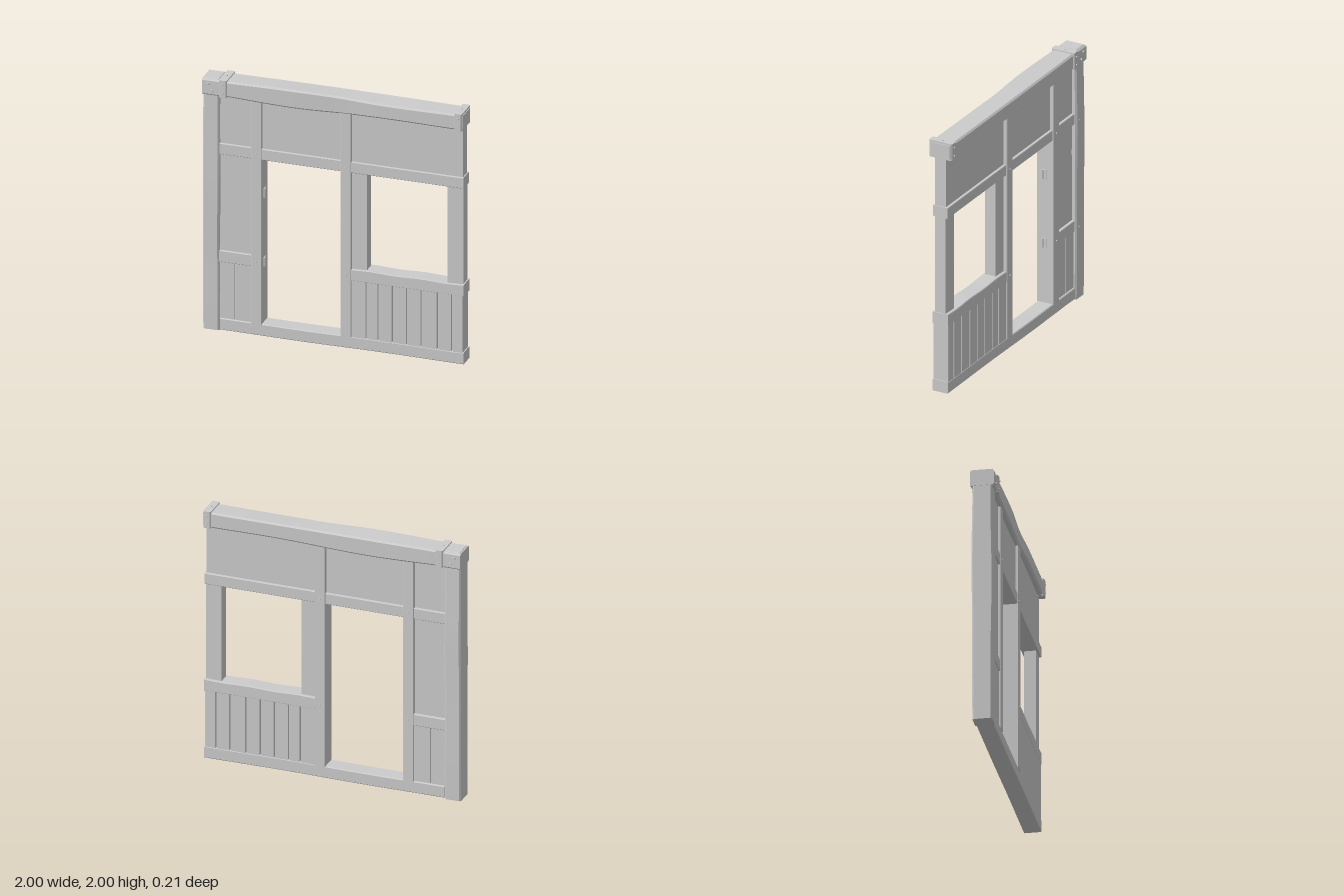
import * as THREE from 'three';
import { toCreasedNormals } from 'three/addons/utils/BufferGeometryUtils.js';

const material = new THREE.MeshStandardMaterial({ color: 0xcccccc });

// Bar with chamfered long edges and slightly hewn, wavy faces.
function timber(axis, length, w, h, chamfer, steps = 1, warp = null) {
  const a = w / 2, b = h / 2, c = chamfer;
  const shape = new THREE.Shape([
    [-a + c, -b], [a - c, -b], [a, -b + c], [a, b - c],
    [a - c, b], [-a + c, b], [-a, b - c], [-a, -b + c],
  ].map(([x, y]) => new THREE.Vector2(x, y)));
  let geo = new THREE.ExtrudeGeometry(shape, { depth: length, steps, bevelEnabled: false });
  geo.translate(0, 0, -length / 2);
  if (axis === 'x') geo.rotateY(Math.PI / 2);
  if (axis === 'y') geo.rotateX(-Math.PI / 2);
  if (warp) {
    const p = geo.attributes.position, v = new THREE.Vector3();
    for (let i = 0; i < p.count; i++) {
      v.fromBufferAttribute(p, i);
      warp(v);
      p.setXYZ(i, v.x, v.y, v.z);
    }
  }
  return toCreasedNormals(geo, 0.5);
}

export function createModel() {
  const model = new THREE.Group();

  const add = (name, geo, x = 0, y = 0, z = 0) => {
    const mesh = new THREE.Mesh(geo, material);
    mesh.name = name;
    mesh.position.set(x, y, z);
    model.add(mesh);
    return mesh;
  };
  // Bar given by its limits in x and y and its depth around z.
  const bar = (name, x0, x1, y0, y1, z0, z1, chamfer = 0.004) => {
    const w = x1 - x0, h = y1 - y0, d = z1 - z0;
    const geo = w > h ? timber('x', w, d, h, chamfer) : timber('y', h, w, d, chamfer);
    return add(name, geo, (x0 + x1) / 2, (y0 + y1) / 2, (z0 + z1) / 2);
  };
  const box = (name, x0, x1, y0, y1, z0, z1) =>
    add(name, new THREE.BoxGeometry(x1 - x0, y1 - y0, z1 - z0),
      (x0 + x1) / 2, (y0 + y1) / 2, (z0 + z1) / 2);
  const bolt = (x, y, z, r = 0.011) => {
    const geo = new THREE.CylinderGeometry(r * 0.75, r, 0.012, 6);
    geo.rotateX(z > 0 ? Math.PI / 2 : -Math.PI / 2);
    add('bolt', geo, x, y, z);
  };

  // Top beam with a hewn front and underside
  add('topBeam', timber('x', 1.82, 0.172, 0.122, 0.012, 24, (v) => {
    const ends = 1 - (v.x / 0.91) ** 2;
    if (v.z > 0) v.z += 0.004 * ends - 0.012 * Math.exp(-((v.x / 0.22) ** 2));
    else v.z -= 0.006 * ends;
    if (v.y < 0) v.y -= ends * (0.006 - 0.012 * Math.sin(v.x * 3.2));
    else v.y += ends * (0.003 - (v.z > 0 ? 0.008 * Math.sin(v.x * 3) : 0));
  }), 0.06, 1.921, 0);

  // Metal collars around both ends of the beam
  for (const [x0, x1] of [[-0.868, -0.808], [0.932, 0.99]]) {
    bar('beamCollar', x0, x1, 1.857, 1.991, -0.095, 0.095, 0.008);
    for (const s of [-1, 1]) {
      for (const y of [1.89, 1.955]) bolt((x0 + x1) / 2, y, s * 0.098, 0.008);
    }
    add('bolt', new THREE.CylinderGeometry(0.006, 0.008, 0.008, 6), (x0 + x1) / 2, 1.993, 0);
  }
  bar('beamEndCap', 0.985, 0.996, 1.872, 1.977, -0.08, 0.08, 0.002);

  // Corner post and its head block
  add('cornerPost', timber('y', 1.865, 0.126, 0.145, 0.012, 16, (v) => {
    const bow = 1 - (v.y / 0.9325) ** 2;
    v.z += Math.sign(v.z) * 0.006 * bow * (1 + Math.sin(v.y * 5 + v.z * 8) * 0.6);
    if (v.x > 0) v.x += 0.003 * bow * Math.sin(v.y * 6);
  }), -0.935, 0.9325, 0);
  bar('cornerBlock', -1, -0.868, 1.858, 1.982, -0.087, 0.087, 0.01);
  bar('cornerBlockCap', -0.99, -0.878, 1.97, 1.987, -0.073, 0.073, 0.004);
  for (const s of [-1, 1]) {
    bolt(-0.952, 1.947, s * 0.091, 0.013);
    bolt(-0.924, 1.897, s * 0.091, 0.013);
  }
  for (const y of [1.42, 0.57]) for (const s of [-1, 1]) bolt(-0.91, y, s * 0.076, 0.006);

  // Ground sill
  add('groundSill', timber('x', 1.865, 0.13, 0.092, 0.006, 16, (v) => {
    v.y += 0.003 * Math.sin(v.x * 4) * (1 - (v.x / 0.9325) ** 2);
  }), 0.0625, 0.049, 0);

  // Plaster panels
  box('upperPanel', -0.875, 0.985, 1.45, 1.87, -0.04, 0.048);
  box('sidePanel', -0.875, -0.62, 0.6, 1.45, -0.04, 0.048);

  // Door posts, from the sill up to the beam
  bar('doorPostRight', -0.63, -0.55, 0.09, 1.865, -0.07, 0.07);
  bar('doorPostLeft', 0.055, 0.135, 0.09, 1.865, -0.07, 0.07);

  // Window jambs
  box('windowJambInner', 0.13, 0.25, 0.6, 1.42, -0.04, 0.048);
  box('windowJambOuter', 0.867, 0.987, 0.6, 1.42, -0.04, 0.048);

  // Rails between the posts
  for (const [x0, x1] of [[-0.875, -0.625], [-0.555, 0.06], [0.13, 0.993]]) {
    bar('upperRail', x0, x1, 1.392, 1.478, -0.06, 0.063);
  }
  bar('sideRail', -0.875, -0.625, 0.54, 0.63, -0.062, 0.064);
  add('windowSill', timber('x', 0.866, 0.128, 0.092, 0.005, 14, (v) => {
    if (v.y > 0) v.y += 0.003 * Math.sin(v.x * 16);
  }), 0.563, 0.584, 0);

  // Plank cladding, with narrow grooves over a recessed core
  const planks = (edges, z0, z1) => {
    const last = edges.length - 1;
    box('plankCore', edges[0], edges[last] - 0.002, 0.08, 0.56, -0.038, 0.042);
    for (let i = 0; i < last; i++) {
      bar('plank', edges[i] + (i ? 0.004 : 0), edges[i + 1] - (i < last - 1 ? 0.004 : 0),
        0.09, 0.545, z0, z1, 0.002);
    }
  };
  planks([0.13, 0.25, 0.34, 0.45, 0.56, 0.67, 0.795, 0.903, 0.987], -0.062, 0.062);
  planks([-0.875, -0.76, -0.625], -0.052, 0.055);

  // Hinge plates on the door post
  for (const y of [1.115, 0.57]) {
    bar('hingePlate', -0.553, -0.543, y - 0.036, y + 0.036, -0.012, 0.025, 0.002);
    add('hingePin', new THREE.CylinderGeometry(0.007, 0.007, 0.072, 8), -0.541, y, 0.018);
  }

  // Bolts where the posts meet the rails
  for (const [x, y] of [[-0.59, 1.44], [0.095, 1.43], [-0.59, 0.585], [0.095, 0.585]]) {
    for (const s of [-1, 1]) bolt(x, y, s * 0.071, 0.009);
  }
  return model;
}
